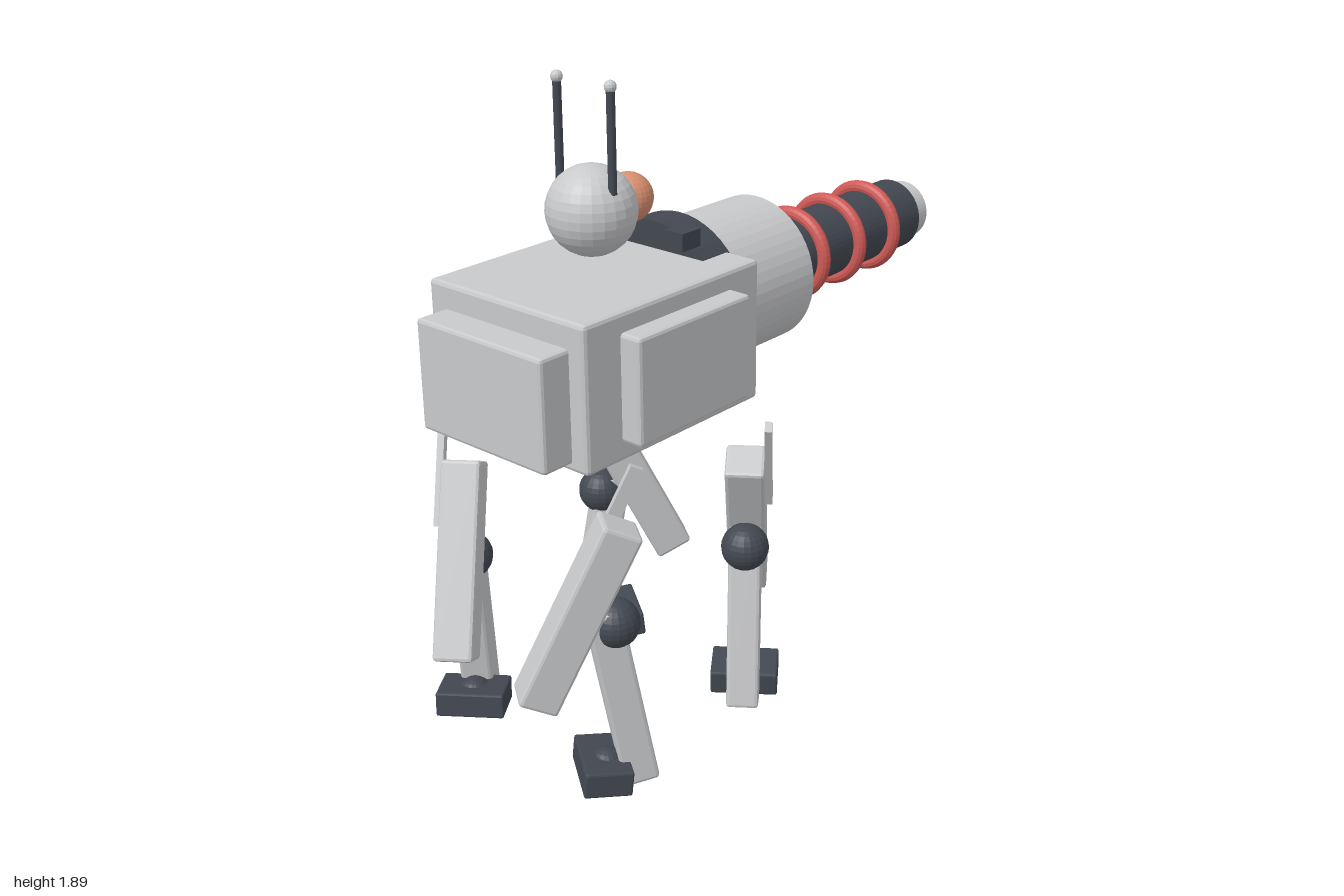
import * as THREE from 'three';
import { RoundedBoxGeometry } from 'three/addons/geometries/RoundedBoxGeometry.js';

const paint = (name, color) => {
  const m = new THREE.MeshStandardMaterial({ color, flatShading: true });
  m.name = name;
  return m;
};

export function createModel() {
  const grey = paint('light grey', 0xc8c9cb);
  const dark = paint('charcoal', 0x434851);
  const red = paint('coil red', 0xcf5a56);
  const orange = paint('copper orange', 0xd98f70);

  const model = new THREE.Group();
  model.name = 'walker';
  const CX = 0.005;

  const add = (parent, name, geometry, material, x, y, z, rx = 0) => {
    const mesh = new THREE.Mesh(geometry, material);
    mesh.name = name;
    mesh.position.set(x, y, z);
    mesh.rotation.x = rx;
    parent.add(mesh);
    return mesh;
  };
  const block = (w, h, d, r = 0.01) => new RoundedBoxGeometry(w, h, d, 1, r);
  const ball = (r, ws = 24, hs = 16) => new THREE.SphereGeometry(r, ws, hs);

  // Hull with front and side armour plates
  add(model, 'hull', block(0.57, 0.41, 0.685, 0.012), grey, CX, 1.17, 0.4825);
  add(model, 'frontPlate', block(0.46, 0.315, 0.14), grey, CX, 1.145, 0.853);
  for (const s of [-1, 1]) {
    add(model, 'sidePlate', block(0.12, 0.3, 0.44), grey, CX + s * 0.29, 1.17, 0.475);
  }

  // Cannon along -z: each section is [name, radius, front z, back z, material]
  const sections = [
    ['mountRing', 0.252, 0.252, 0.142, dark],
    ['barrelHousing', 0.222, 0.2, -0.203, grey],
    ['barrelCollar', 0.15, -0.15, -0.28, grey],
    ['barrel', 0.115, -0.25, -0.925, dark],
    ['muzzleNeck', 0.08, -0.9, -0.95, grey],
    ['muzzle', 0.095, -0.936, -1, grey],
  ];
  for (const [name, r, z0, z1, material] of sections) {
    const geometry = new THREE.CylinderGeometry(r, r, z0 - z1, 48);
    add(model, name, geometry, material, CX - 0.003, 1.202, (z0 + z1) / 2, Math.PI / 2);
  }
  for (const z of [-0.383, -0.571, -0.759]) {
    add(model, 'coil', new THREE.TorusGeometry(0.127, 0.021, 12, 48), red, CX - 0.003, 1.202, z);
  }

  // Head, sensor, antennas and small roof blocks
  add(model, 'head', ball(0.125), grey, CX, 1.542, 0.495);
  add(model, 'sensor', ball(0.07), orange, CX, 1.545, 0.353);
  for (const s of [-1, 1]) {
    const x = CX + s * 0.096;
    add(model, 'antenna', new THREE.CylinderGeometry(0.012, 0.012, 0.28, 12), dark, x, 1.745, 0.513);
    add(model, 'antennaTip', ball(0.017, 12, 8), grey, x, 1.888, 0.513);
    add(model, 'roofBlock', new THREE.BoxGeometry(0.064, 0.05, 0.072), dark, CX + s * 0.176, 1.46, 0.332);
  }

  // Leg: local +z is the direction the thigh swings out
  const makeLeg = (name) => {
    const leg = new THREE.Group();
    leg.name = name;
    const thigh = new THREE.Group();
    thigh.name = 'thigh';
    thigh.position.set(0, 0.5485, 0.123);
    thigh.rotation.x = -0.454;
    add(thigh, 'thighCasing', block(0.113, 0.56, 0.115), grey, 0, 0, 0);
    add(thigh, 'thighStrut', new THREE.BoxGeometry(0.02, 0.33, 0.038), grey, -0.066, 0.257, 0.005);
    leg.add(thigh);
    add(leg, 'knee', ball(0.07, 20, 14), dark, 0, 0.51, 0.023);
    add(leg, 'shin', block(0.095, 0.55, 0.1), grey, 0, 0.288, 0.011, 0.175);
    add(leg, 'foot', block(0.2, 0.075, 0.135, 0.006), dark, 0, 0.062, 0.066, -0.1);
    add(leg, 'ankle', ball(0.052, 16, 12), dark, 0, 0.063, 0.055);
    return leg;
  };
  const YAW = 0.628;
  for (const sx of [-1, 1]) {
    for (const sz of [-1, 1]) {
      const leg = makeLeg(`${sz > 0 ? 'front' : 'back'}${sx > 0 ? 'Left' : 'Right'}Leg`);
      leg.position.set(CX + sx * 0.302, 0, 0.47 + sz * 0.257);
      leg.rotation.y = sz > 0 ? -sx * YAW : Math.PI + sx * YAW;
      model.add(leg);
    }
  }
  return model;
}
